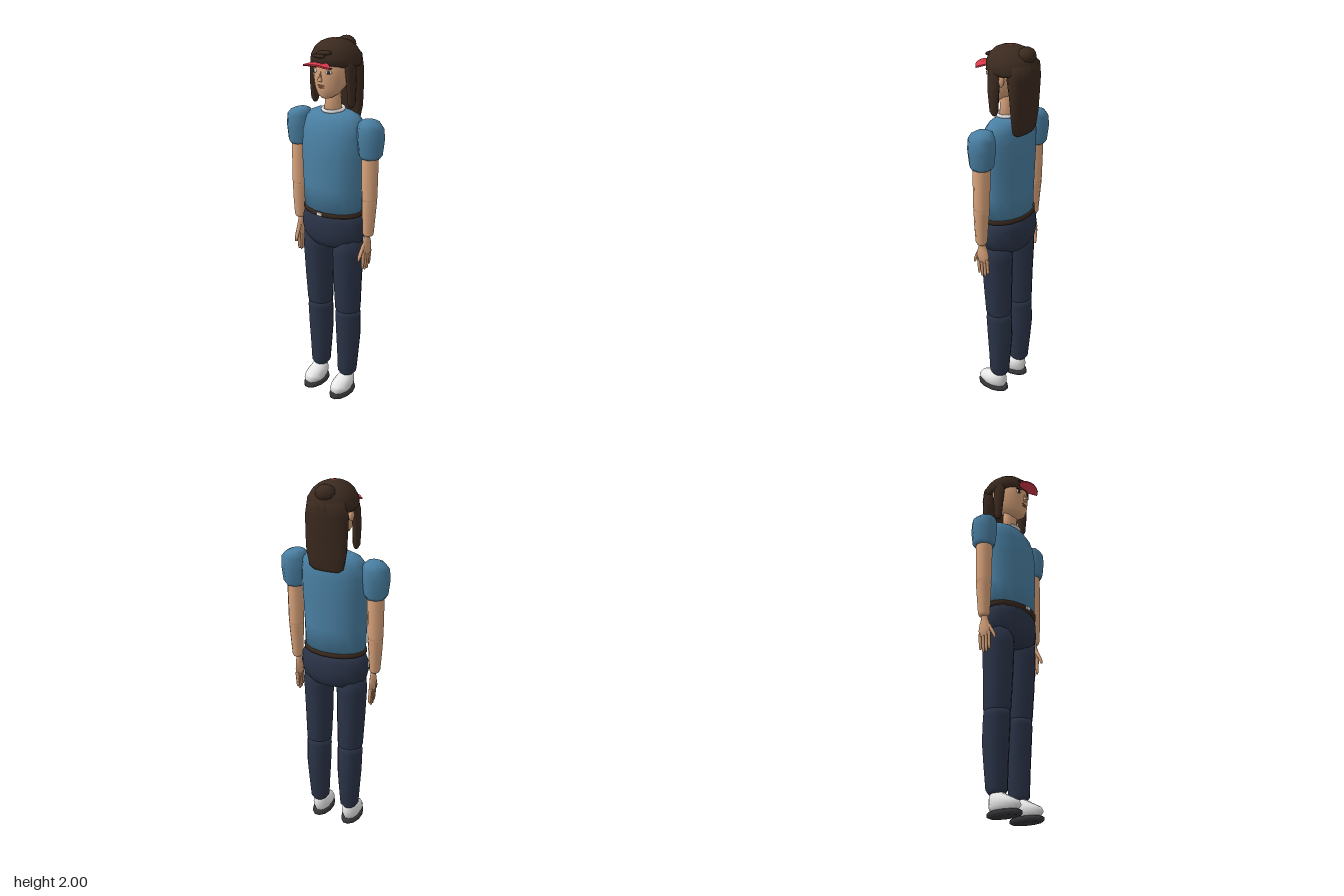
import * as THREE from 'three';

const mat = (name, color) => {
  const m = new THREE.MeshStandardMaterial({ color });
  m.name = name;
  return m;
};

// Closed smooth tube through horizontal ellipses, bottom to top: [y, cx, cz, rx, rz]
function loft(rings, n = 12) {
  const first = rings[0], last = rings[rings.length - 1];
  const all = [[first[0], first[1], first[2], 0, 0], ...rings, [last[0], last[1], last[2], 0, 0]];
  const pos = [], idx = [];
  all.forEach(([y, cx, cz, rx, rz]) => {
    for (let j = 0; j < n; j++) {
      const a = (j / n + 0.5 / n) * Math.PI * 2;
      pos.push(cx + rx * Math.cos(a), y, cz + rz * Math.sin(a));
    }
  });
  for (let i = 0; i < all.length - 1; i++) {
    for (let j = 0; j < n; j++) {
      const k = (j + 1) % n, a = i * n + j, b = i * n + k;
      if (i < all.length - 2) idx.push(a, a + n, b + n);
      if (i > 0) idx.push(a, b + n, b);
    }
  }
  const g = new THREE.BufferGeometry();
  g.setAttribute('position', new THREE.Float32BufferAttribute(pos, 3));
  g.setIndex(idx);
  g.computeVertexNormals();
  return g;
}

export function createModel() {
  const model = new THREE.Group();
  model.name = 'figure';
  const shirt = mat('shirt blue', 0x4a80a3);
  const pants = mat('trouser navy', 0x2b3448);
  const skin = mat('skin', 0xd8a27a);
  const hair = mat('hair brown', 0x3b2a1f);
  const white = mat('white', 0xe8e8e8);
  const red = mat('red', 0xd93a4b);
  const sole = mat('sole grey', 0x36363a);
  const lip = mat('lip', 0xb5705a);

  const add = (name, geometry, material, parent = model) => {
    const m = new THREE.Mesh(geometry, material);
    m.name = name;
    parent.add(m);
    return m;
  };
  const ball = (name, material, p, s, parent = model, w = 12, h = 8) => {
    const m = add(name, new THREE.SphereGeometry(1, w, h), material, parent);
    m.position.set(...p);
    m.scale.set(...s);
    return m;
  };

  // Torso, belt and hips
  add('shirt', loft([
    [1.11, 0, -0.005, 0.168, 0.115], [1.25, 0, -0.004, 0.172, 0.118], [1.42, 0, -0.005, 0.181, 0.121],
    [1.53, 0, -0.012, 0.182, 0.113], [1.59, 0, -0.018, 0.172, 0.098], [1.625, 0, -0.02, 0.146, 0.078],
    [1.642, 0, -0.02, 0.105, 0.055],
  ], 16), shirt);
  add('belt', loft([
    [1.1, 0, -0.006, 0.168, 0.115], [1.104, 0, -0.006, 0.175, 0.121],
    [1.122, 0, -0.006, 0.175, 0.121], [1.126, 0, -0.006, 0.168, 0.115],
  ], 16), hair);
  add('buckle', new THREE.BoxGeometry(0.032, 0.016, 0.009), white).position.set(0, 1.113, 0.115);
  add('hips', loft([
    [0.905, 0, -0.012, 0.08, 0.06], [0.925, 0, -0.012, 0.14, 0.097], [0.96, 0, -0.012, 0.178, 0.116],
    [1.01, 0, -0.012, 0.19, 0.122], [1.06, 0, -0.01, 0.186, 0.12], [1.09, 0, -0.008, 0.173, 0.115],
    [1.102, 0, -0.006, 0.158, 0.106],
  ], 16), pants);

  // Limbs, mirrored left and right
  for (const [side, s] of [['left', 1], ['right', -1]]) {
    const leg = new THREE.Group();
    leg.name = side + 'Leg';
    model.add(leg);
    add('thigh', loft([
      [0.51, s * 0.095, -0.015, 0.055, 0.058], [0.54, s * 0.095, -0.015, 0.071, 0.071],
      [0.7, s * 0.096, -0.01, 0.077, 0.078], [0.88, s * 0.098, -0.008, 0.082, 0.086],
      [0.97, s * 0.098, -0.008, 0.078, 0.082],
    ]), pants, leg);
    add('shin', loft([
      [0.115, s * 0.093, -0.016, 0.038, 0.042], [0.135, s * 0.093, -0.016, 0.053, 0.056],
      [0.25, s * 0.094, -0.02, 0.061, 0.062], [0.37, s * 0.095, -0.022, 0.069, 0.069],
      [0.5, s * 0.095, -0.016, 0.07, 0.071], [0.54, s * 0.095, -0.015, 0.066, 0.068],
    ]), pants, leg);
    add('shoe', loft([
      [0.028, s * 0.093, 0.03, 0.043, 0.078], [0.05, s * 0.093, 0.034, 0.053, 0.09],
      [0.075, s * 0.093, 0.026, 0.053, 0.084], [0.1, s * 0.093, 0.002, 0.043, 0.058],
      [0.12, s * 0.093, -0.01, 0.028, 0.035],
    ]), white, leg);
    add('sole', loft([
      [0, s * 0.093, 0.03, 0.044, 0.084], [0.008, s * 0.093, 0.03, 0.056, 0.098],
      [0.022, s * 0.093, 0.03, 0.056, 0.098], [0.03, s * 0.093, 0.03, 0.046, 0.086],
    ]), sole, leg);

    const arm = new THREE.Group();
    arm.name = side + 'Arm';
    model.add(arm);
    add('sleeve', loft([
      [1.432, s * 0.226, -0.012, 0.05, 0.052], [1.45, s * 0.226, -0.013, 0.062, 0.064],
      [1.53, s * 0.226, -0.014, 0.071, 0.073], [1.585, s * 0.224, -0.015, 0.068, 0.07],
      [1.61, s * 0.217, -0.015, 0.054, 0.057], [1.622, s * 0.212, -0.015, 0.032, 0.035],
    ], 8), shirt, arm);
    add('upperArm', loft([
      [1.19, s * 0.228, -0.01, 0.036, 0.038], [1.22, s * 0.228, -0.01, 0.041, 0.042],
      [1.46, s * 0.225, -0.013, 0.045, 0.046],
    ], 10), skin, arm);
    add('forearm', loft([
      [1.012, s * 0.227, -0.006, 0.023, 0.024], [1.025, s * 0.227, -0.006, 0.029, 0.031],
      [1.12, s * 0.228, -0.007, 0.035, 0.037], [1.2, s * 0.228, -0.01, 0.04, 0.041],
      [1.225, s * 0.228, -0.01, 0.037, 0.038],
    ], 10), skin, arm);
    // Hand with four fingers and a thumb reaching forward
    add('palm', loft([
      [0.905, s * 0.218, -0.006, 0.011, 0.034], [0.94, s * 0.218, -0.006, 0.015, 0.038],
      [0.975, s * 0.219, -0.006, 0.015, 0.03], [1.0, s * 0.22, -0.006, 0.014, 0.02],
      [1.03, s * 0.224, -0.006, 0.016, 0.018],
    ], 8), skin, arm);
    for (let i = 0; i < 4; i++) {
      const z = -0.035 + i * 0.019, tip = 0.815 + (i === 0 ? 0.02 : i === 3 ? 0.012 : 0);
      add('finger', loft([
        [tip, s * 0.214, z, 0.005, 0.005], [tip + 0.012, s * 0.214, z, 0.008, 0.008],
        [0.92, s * 0.218, z, 0.01, 0.01],
      ], 6), skin, arm);
    }
    add('thumb', loft([
      [0.882, s * 0.21, 0.055, 0.006, 0.006], [0.905, s * 0.212, 0.048, 0.01, 0.01],
      [0.965, s * 0.217, 0.016, 0.011, 0.012],
    ], 6), skin, arm);
  }

  // Neck, collar and head
  add('neck', loft([[1.62, 0, -0.008, 0.05, 0.044], [1.7, 0, -0.005, 0.044, 0.038], [1.78, 0, 0, 0.045, 0.04]]), skin);
  const collar = add('collar', new THREE.TorusGeometry(0.054, 0.009, 6, 20), white);
  collar.position.set(0, 1.65, -0.006);
  collar.rotation.x = Math.PI / 2 + 0.08;
  add('head', loft([
    [1.717, 0, 0.045, 0.026, 0.03], [1.735, 0, 0.036, 0.053, 0.053], [1.77, 0, 0.017, 0.078, 0.078],
    [1.82, 0, 0.006, 0.092, 0.092], [1.88, 0, -0.002, 0.1, 0.099], [1.93, 0, -0.01, 0.085, 0.085],
  ], 16), skin);

  // Face
  const nose = add('nose', new THREE.ConeGeometry(0.013, 0.05, 6), skin);
  nose.position.set(0, 1.83, 0.1);
  nose.rotation.x = -0.2;
  add('upperLip', new THREE.SphereGeometry(1, 10, 6), lip).position.set(0, 1.783, 0.095);
  model.getObjectByName('upperLip').scale.set(0.022, 0.004, 0.005);
  ball('lowerLip', lip, [0, 1.773, 0.093], [0.018, 0.004, 0.006]);
  for (const s of [-1, 1]) {
    const eye = new THREE.Group();
    eye.name = s > 0 ? 'leftEye' : 'rightEye';
    eye.position.set(s * 0.042, 1.851, 0.086);
    eye.rotation.y = s * 0.4;
    model.add(eye);
    ball('eyeWhite', white, [0, 0, 0], [0.016, 0.01, 0.008], eye);
    ball('iris', hair, [0, 0, 0.005], [0.009, 0.009, 0.005], eye);
    ball('brow', hair, [0, 0.02, 0.003], [0.02, 0.004, 0.005], eye);
    ball('ear', skin, [s * 0.1, 1.845, -0.035], [0.014, 0.032, 0.02]);
  }

  // Hair: crown, long back, side locks, bun and fringe strands
  add('crown', loft([
    [1.868, 0, -0.04, 0.116, 0.115], [1.885, 0, -0.031, 0.127, 0.131], [1.92, 0, -0.03, 0.123, 0.129],
    [1.955, 0, -0.026, 0.102, 0.11], [1.98, 0, -0.022, 0.073, 0.08], [1.992, 0, -0.02, 0.045, 0.05],
    [1.998, 0, -0.02, 0.018, 0.02],
  ], 20), hair);
  add('backHair', loft([
    [1.57, 0, -0.108, 0.07, 0.015], [1.585, 0, -0.107, 0.092, 0.024], [1.66, 0, -0.108, 0.108, 0.032],
    [1.76, 0, -0.105, 0.112, 0.045], [1.85, 0, -0.1, 0.112, 0.061], [1.92, 0, -0.1, 0.1, 0.06],
  ], 14), hair);
  for (const s of [-1, 1]) {
    add(s > 0 ? 'leftLock' : 'rightLock', loft([
      [1.67, s * 0.113, -0.006, 0.009, 0.011], [1.69, s * 0.114, -0.005, 0.018, 0.023],
      [1.78, s * 0.114, -0.003, 0.021, 0.031], [1.86, s * 0.108, -0.002, 0.022, 0.036],
      [1.91, s * 0.1, -0.004, 0.016, 0.03],
    ], 10), hair);
  }
  ball('bun', hair, [0, 1.957, -0.115], [0.051, 0.042, 0.045]);
  ball('fringeStrand', hair, [0.012, 1.942, 0.086], [0.048, 0.012, 0.014]).rotation.z = 0.1;
  ball('fringeStrand', hair, [-0.012, 1.925, 0.094], [0.038, 0.01, 0.014]);

  // Visor, arched across its width, and top button
  const outline = [[-0.06, 0.105], [-0.082, 0.13], [-0.06, 0.15], [-0.03, 0.158], [0, 0.162],
    [0.03, 0.158], [0.06, 0.15], [0.082, 0.13], [0.06, 0.105], [0.03, 0.085], [0, 0.08], [-0.03, 0.085]];
  const visor = new THREE.ExtrudeGeometry(
    new THREE.Shape(outline.map(([x, z]) => new THREE.Vector2(x, z))), { depth: 0.008, bevelEnabled: false });
  visor.rotateX(Math.PI / 2);
  const p = visor.attributes.position;
  for (let i = 0; i < p.count; i++) p.setY(i, p.getY(i) + 1.898 - 2.2 * p.getX(i) ** 2);
  visor.computeVertexNormals();
  add('visor', visor, red);
  ball('topButton', red, [0, 1.994, -0.02], [0.01, 0.006, 0.01]);

  return model;
}
